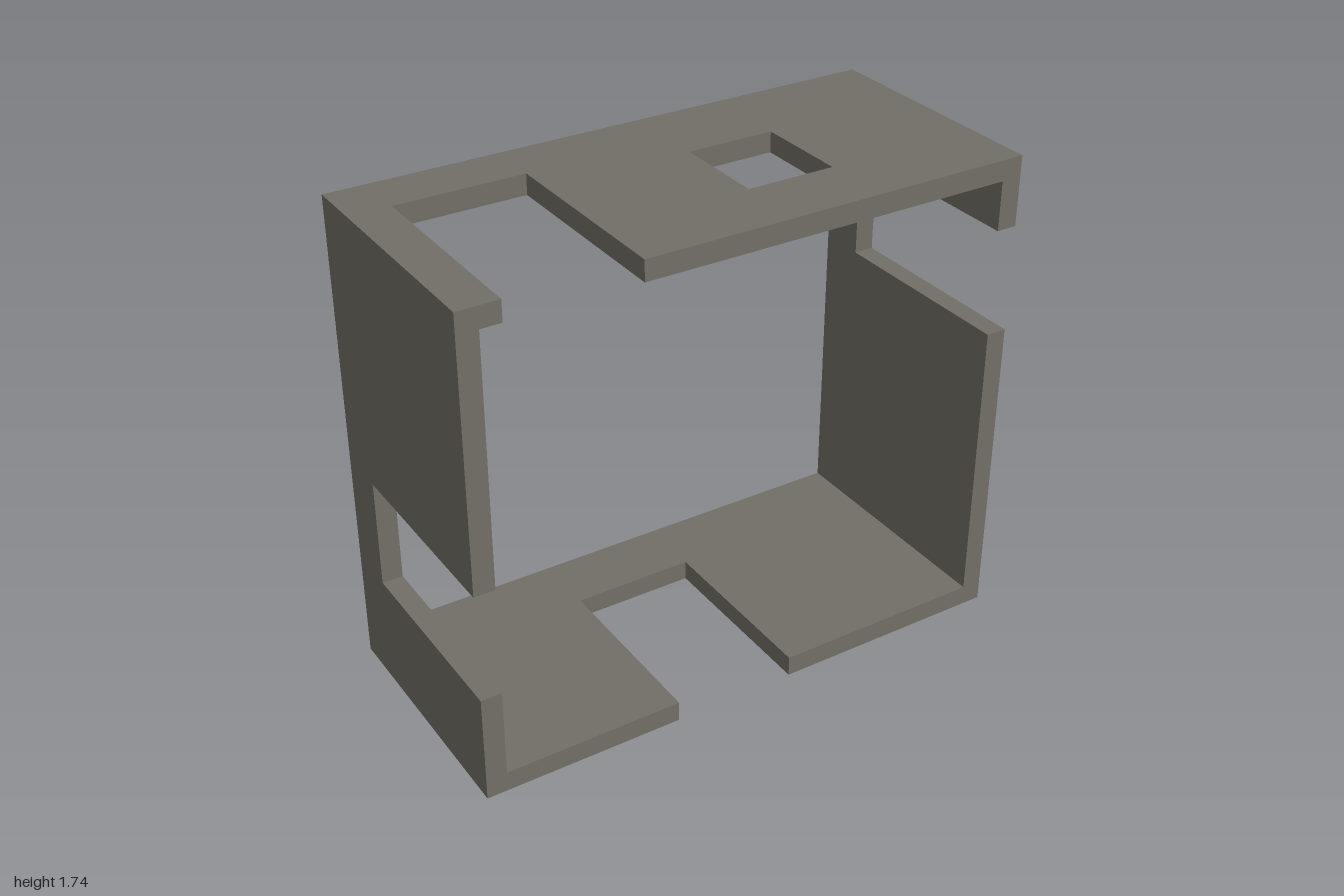
import * as THREE from 'three';

const W = 1, H = 1.737, D = 0.45, T = 0.073; // half width, height, half depth, wall thickness

const casing = new THREE.MeshStandardMaterial({ color: 0x716f66 });
casing.name = 'warm grey';

// Flat wall running from a to b, with a notch open to the front edge.
// notch: { from, to, back } where back is the z of the notch's inner end.
function notchedWall(name, a, b, notch, upright, hole) {
  // u runs along the wall, z is model depth
  const at = (u, z) => (upright ? new THREE.Vector2(-z, u) : new THREE.Vector2(u, -z));
  const shape = new THREE.Shape([
    at(a, -D), at(a, D),
    at(notch.from, D), at(notch.from, notch.back),
    at(notch.to, notch.back), at(notch.to, D),
    at(b, D), at(b, -D),
  ]);
  if (hole) {
    const { from, to, back, front } = hole;
    shape.holes.push(new THREE.Path([at(from, back), at(to, back), at(to, front), at(from, front)]));
  }
  const geometry = new THREE.ExtrudeGeometry(shape, { depth: T, bevelEnabled: false });
  if (upright) geometry.rotateY(Math.PI / 2); // thickness along +x
  else geometry.rotateX(-Math.PI / 2); // thickness along +y
  const mesh = new THREE.Mesh(geometry, casing);
  mesh.name = name;
  return mesh;
}

export function createModel() {
  const model = new THREE.Group();
  model.name = 'notchedFrame';

  // Horizontal walls span the full width
  const bottom = notchedWall('bottomWall', -W, W, { from: -0.285, to: 0.16, back: -0.215 }, false);
  const top = notchedWall('topWall', -W, W, { from: -0.855, to: -0.4, back: -0.26 }, false,
    { from: 0.12, to: 0.435, back: -0.135, front: 0.205 });
  top.position.y = H - T;

  // Side walls stand between them
  const left = notchedWall('leftWall', T, H - T, { from: 1.11, to: 1.49, back: -0.283 }, true);
  left.position.x = W - T;
  const right = notchedWall('rightWall', T, H - T, { from: 0.395, to: 0.787, back: -0.27 }, true);
  right.position.x = -W;

  model.add(bottom, top, left, right);
  return model;
}
